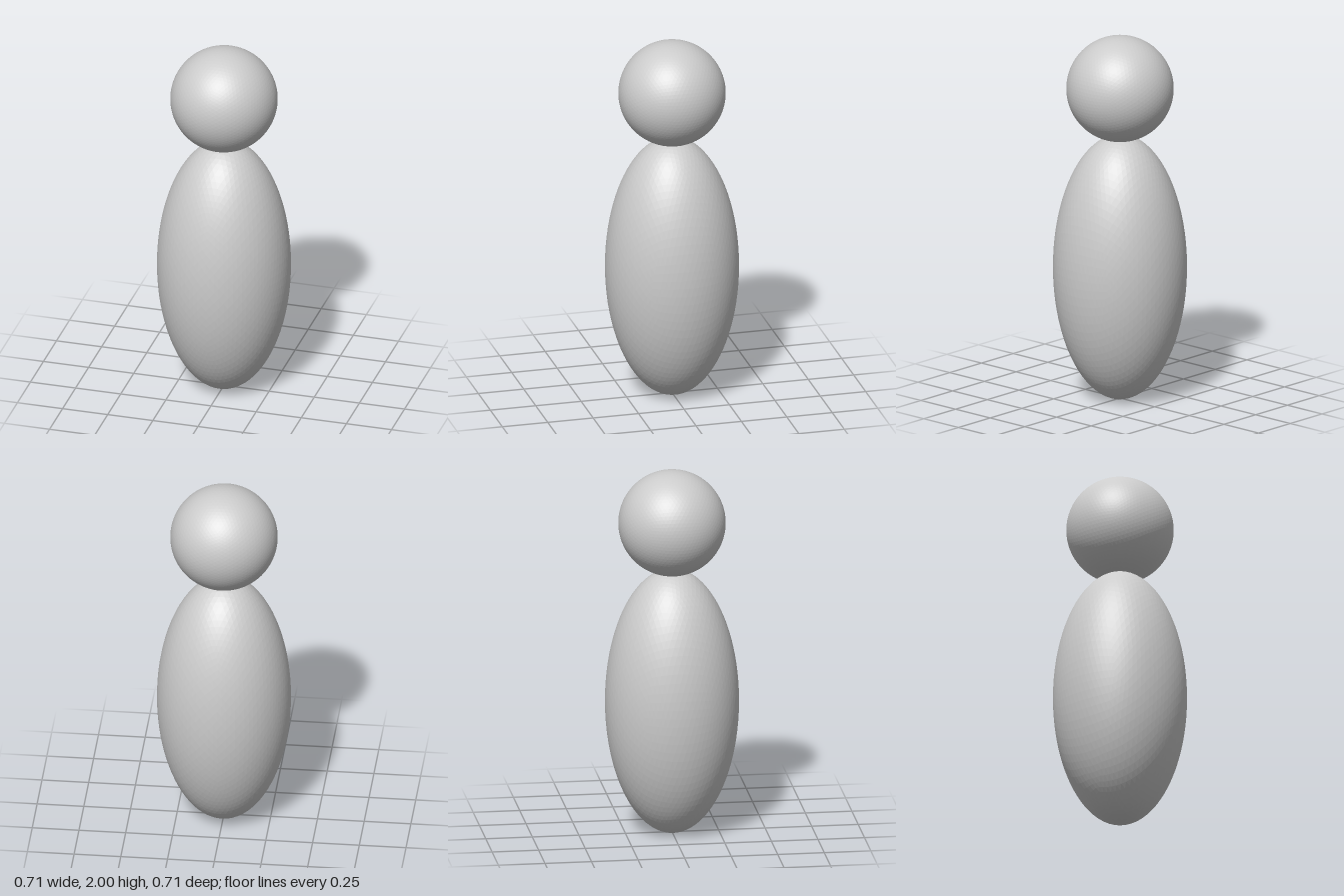
import * as THREE from 'three';

const material = new THREE.MeshStandardMaterial({ color: 0xcccccc, flatShading: true });

// Finely faceted ball, stretched to the given radius and half height
function ellipsoid(name, radius, halfHeight, centerY) {
  const geometry = new THREE.IcosahedronGeometry(1, 15);
  geometry.scale(radius, halfHeight, radius);
  const mesh = new THREE.Mesh(geometry, material);
  mesh.name = name;
  mesh.position.y = centerY;
  return mesh;
}

export function createModel() {
  const model = new THREE.Group();
  model.name = 'figure';

  // Tall egg-shaped body standing on the ground
  model.add(ellipsoid('body', 0.357, 0.728, 0.728));

  // Round head, sunk slightly into the top of the body
  model.add(ellipsoid('head', 0.286, 0.286, 1.714));

  return model;
}
